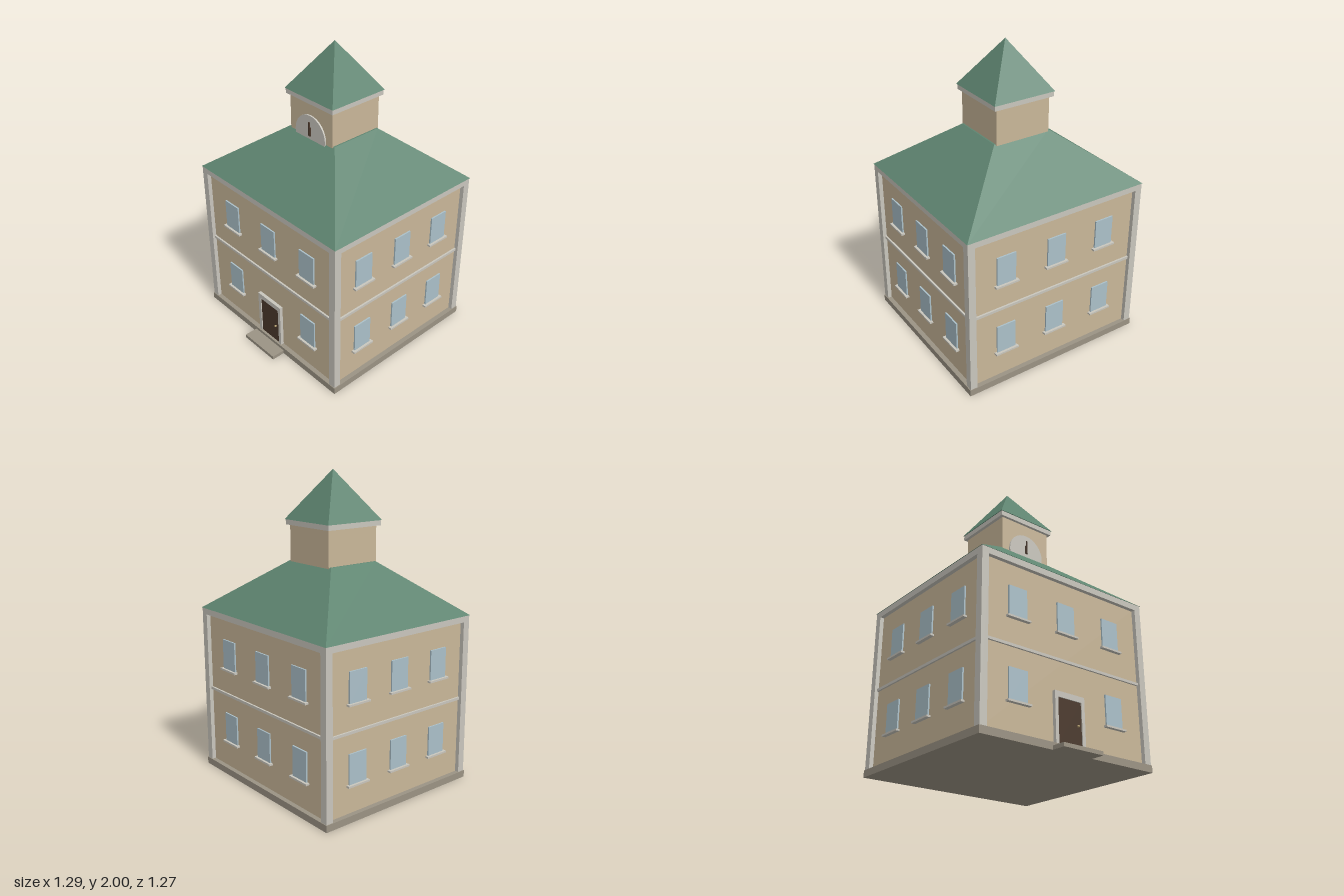
import * as THREE from 'three';

const mat = (name, color) => {
  const m = new THREE.MeshStandardMaterial({ color });
  m.name = name;
  return m;
};

export function createModel() {
  const wall = mat('sand plaster', 0xc9b799);
  const trim = mat('pale trim', 0xc9c6bd);
  const roof = mat('green roof', 0x5e8470);
  const glass = mat('window glass', 0xabc0c9);
  const stone = mat('grey stone', 0x9b9384);
  const wood = mat('dark door wood', 0x4b392c);
  const brass = mat('brass', 0xb09a6a);

  const model = new THREE.Group();
  // The building sits slightly back so that the doorstep balances it
  const building = new THREE.Group();
  building.name = 'building';
  building.position.z = -0.045;
  model.add(building);

  const add = (name, geo, material, x = 0, y = 0, z = 0, parent = building) => {
    const mesh = new THREE.Mesh(geo, material);
    mesh.name = name;
    mesh.position.set(x, y, z);
    parent.add(mesh);
    return mesh;
  };
  // Box given by its bottom and top heights
  const box = (name, material, w, y0, y1, d, x = 0, z = 0, parent = building) =>
    add(name, new THREE.BoxGeometry(w, y1 - y0, d), material, x, (y0 + y1) / 2, z, parent);
  // Four-sided roof, optionally cut off at the top
  const hipRoof = (name, halfX, halfZ, y0, y1, topRatio) => {
    const r = Math.SQRT2;
    const geo = new THREE.CylinderGeometry(r * topRatio, r, y1 - y0, 4, 1).toNonIndexed();
    geo.rotateY(Math.PI / 4);
    geo.scale(halfX, 1, halfZ);
    geo.computeVertexNormals();
    return add(name, geo, roof, 0, (y0 + y1) / 2, 0);
  };

  const HX = 0.638, HZ = 0.584, POST = 0.048, RECESS = 0.027;

  // Base, walls, corner posts and frieze
  box('base', stone, 1.286, 0, 0.045, 1.176);
  box('walls', wall, 2 * (HX - RECESS), 0.045, 1.08, 2 * (HZ - RECESS));
  for (const sx of [-1, 1]) {
    for (const sz of [-1, 1]) {
      box('cornerPost', trim, POST, 0.045, 1.06, POST, sx * (HX - POST / 2), sz * (HZ - POST / 2));
    }
  }
  box('frieze', trim, 2 * HX, 1.06, 1.1, 2 * HZ);

  // Each side: belt course, windows and sills; local +z points outward
  const sides = [
    { name: 'frontSide', angle: 0, half: HX, dist: HZ, gap: 0.365, door: true },
    { name: 'leftSide', angle: Math.PI / 2, half: HZ, dist: HX, gap: 0.33 },
    { name: 'backSide', angle: Math.PI, half: HX, dist: HZ, gap: 0.365 },
    { name: 'rightSide', angle: -Math.PI / 2, half: HZ, dist: HX, gap: 0.33 },
  ];
  for (const s of sides) {
    const side = new THREE.Group();
    side.name = s.name;
    side.rotation.y = s.angle;
    building.add(side);
    const face = s.dist - RECESS;
    box('beltCourse', trim, 2 * (s.half - POST), 0.545, 0.562, 0.024, 0, face, side);
    for (const y of [0.23, 0.73]) {
      for (const i of [-1, 0, 1]) {
        if (s.door && i === 0 && y < 0.5) continue;
        box('windowPane', glass, 0.132, y, y + 0.192, 0.02, i * s.gap, face, side);
        box('windowSill', trim, 0.164, y - 0.012, y, 0.05, i * s.gap, face, side);
      }
    }
  }

  // Doorway and step
  const front = HZ - RECESS;
  for (const sx of [-1, 1]) box('doorJamb', trim, 0.023, 0.045, 0.32, 0.044, sx * 0.1005, front);
  box('doorLintel', trim, 0.224, 0.32, 0.355, 0.044, 0, front);
  box('door', wood, 0.178, 0.045, 0.32, 0.03, 0, front);
  add('doorKnob', new THREE.SphereGeometry(0.008, 12, 8), brass, 0.06, 0.175, front + 0.022);
  box('doorStep', stone, 0.292, 0, 0.024, 0.1, 0, 0.628);

  // Main roof and tower
  hipRoof('mainRoof', 0.642, 0.587, 1.1, 1.43, 0.31);
  box('tower', wall, 0.38, 1.4, 1.655, 0.385);
  box('towerEave', trim, 0.422, 1.655, 1.688, 0.422);
  hipRoof('towerRoof', 0.216, 0.216, 1.688, 2, 0);

  // Clock, its lower part sunk into the roof
  const dial = new THREE.CylinderGeometry(0.135, 0.135, 0.014, 32).rotateX(Math.PI / 2);
  add('clockFace', dial, trim, 0, 1.437, 0.196);
  box('hourHand', wood, 0.018, 1.437, 1.495, 0.006, 0, 0.206);
  box('minuteHand', wood, 0.01, 1.437, 1.53, 0.006, 0, 0.21);

  return model;
}
